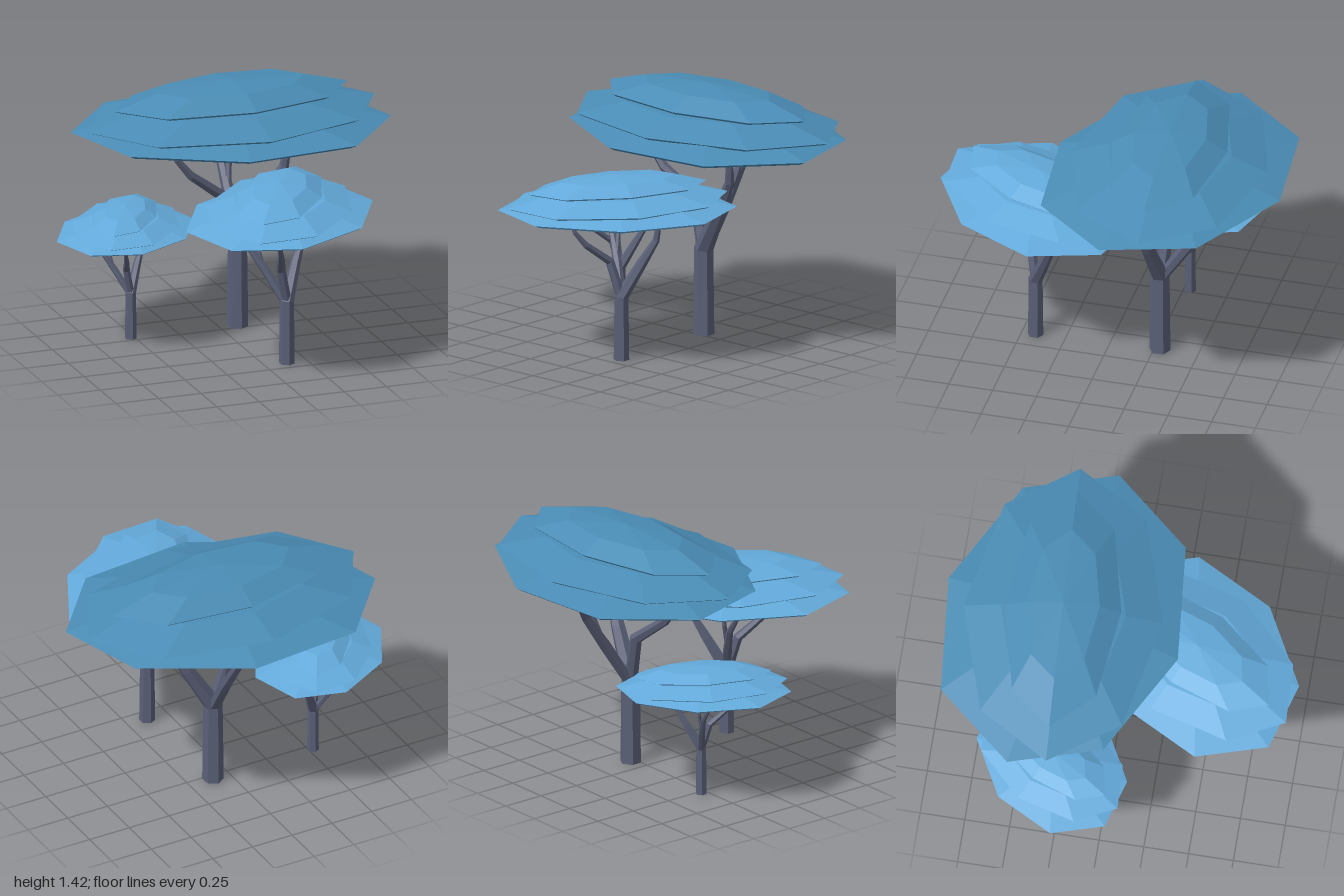
import * as THREE from 'three';

const mat = (name, color) => Object.assign(new THREE.MeshStandardMaterial({ color, flatShading: true }), { name });
const V = (x, y, z) => new THREE.Vector3(x, y, z);

// Closed faceted skin through equal-sized rings, fanned to a point at each end
function loft(rings, start, end) {
  const pos = [];
  const tri = (...p) => p.forEach((v) => pos.push(v.x, v.y, v.z));
  const top = rings[rings.length - 1];
  const n = top.length;
  for (let i = 0; i < n; i++) {
    const j = (i + 1) % n;
    tri(start, rings[0][j], rings[0][i]);
    for (let k = 0; k + 1 < rings.length; k++) {
      const a = rings[k], b = rings[k + 1];
      tri(a[i], a[j], b[j]);
      tri(a[i], b[j], b[i]);
    }
    tri(top[i], top[j], end);
  }
  const g = new THREE.BufferGeometry();
  g.setAttribute('position', new THREE.Float32BufferAttribute(pos, 3));
  g.computeVertexNormals();
  return g;
}

// Six-sided limb along points [x, y, z], thinning from radius r0 to r1;
// the first section (the trunk shaft or the fork) keeps its thickness
function limb(points, r0, r1) {
  const c = points.map((p) => V(...p));
  const last = c.length - 1;
  const rings = c.map((p, k) => {
    const dir = k === 0 ? V(0, 1, 0) : c[Math.min(k + 1, last)].clone().sub(c[k - 1]).normalize();
    const q = new THREE.Quaternion().setFromUnitVectors(V(0, 1, 0), dir);
    const r = THREE.MathUtils.lerp(r0, r1, Math.max(0, k - 0.6) / (last - 0.6));
    return Array.from({ length: 6 }, (_, i) => {
      const a = ((i + 0.5) * Math.PI) / 3;
      return V(r * Math.cos(a), 0, -r * Math.sin(a)).applyQuaternion(q).add(p);
    });
  });
  return loft(rings, c[0], c[last]);
}

// Flat-bottomed dome: half the outline is given, the rest is its point reflection
function dome(half, bottom, rim, shoulder, apex) {
  const outline = [...half, ...half.map(([x, z]) => [-x, -z])];
  const ring = (s, y) => outline.map(([x, z]) => V(x * s, y, z * s));
  return loft([ring(0.95, bottom), ring(1, rim), ring(0.63, shoulder)], V(0, bottom, 0), V(0, apex, 0));
}

// One tree design, centred under its canopy, shared by all three trees
function treeParts() {
  return {
    // The trunk runs on into the main limb
    trunk: limb([[0.04, 0, 0.01], [0.04, 0.36, 0.01], [0.12, 0.55, -0.07], [0.18, 0.68, -0.12], [0.215, 0.86, -0.125]], 0.044, 0.01),
    backBranch: limb([[0.04, 0.34, 0.01], [-0.06, 0.53, -0.065], [-0.15, 0.68, -0.12], [-0.22, 0.77, -0.13], [-0.235, 0.86, -0.13]], 0.028, 0.007),
    backTwig: limb([[-0.07, 0.54, -0.07], [-0.1, 0.7, -0.12], [-0.11, 0.86, -0.125]], 0.016, 0.007),
    sideBranch: limb([[0.04, 0.35, 0.01], [-0.01, 0.56, 0.05], [-0.06, 0.67, 0.19], [-0.09, 0.75, 0.25], [-0.11, 0.86, 0.27]], 0.029, 0.007),
    // Three stacked layers of leaves
    lowerCanopy: dome([[-0.58, 0.08], [-0.46, 0.475], [-0.08, 0.585], [0.355, 0.35]], 0.84, 0.855, 0.91, 0.93),
    middleCanopy: dome([[-0.475, 0.24], [-0.32, 0.55], [0.025, 0.535], [0.355, 0.2]], 0.89, 0.902, 0.96, 0.98),
    upperCanopy: dome([[-0.33, 0.23], [-0.26, 0.445], [-0.03, 0.4], [0.21, 0.11]], 0.965, 0.975, 1.028, 1.05),
  };
}

export function createModel() {
  const bark = mat('bark', 0x5a6077);
  const deepLeaves = mat('deepBlueLeaves', 0x4a8cb5);
  const lightLeaves = mat('lightBlueLeaves', 0x63aadb);
  const parts = treeParts();
  const model = new THREE.Group();
  model.name = 'treeGroup';

  const addTree = (name, leaves, x, z, size, turn) => {
    const tree = new THREE.Group();
    tree.name = name;
    for (const [part, geometry] of Object.entries(parts)) {
      const mesh = new THREE.Mesh(geometry, part.endsWith('Canopy') ? leaves : bark);
      mesh.name = part;
      tree.add(mesh);
    }
    tree.position.set(x, 0, z);
    tree.rotation.y = THREE.MathUtils.degToRad(turn);
    tree.scale.setScalar(size);
    model.add(tree);
  };
  addTree('largeTree', deepLeaves, 0.085, -0.335, 1.355, -57);
  addTree('mediumTree', lightLeaves, 0.09, 0.41, 1, 0);
  addTree('smallTree', lightLeaves, -0.553, -0.295, 0.735, 0);
  return model;
}
